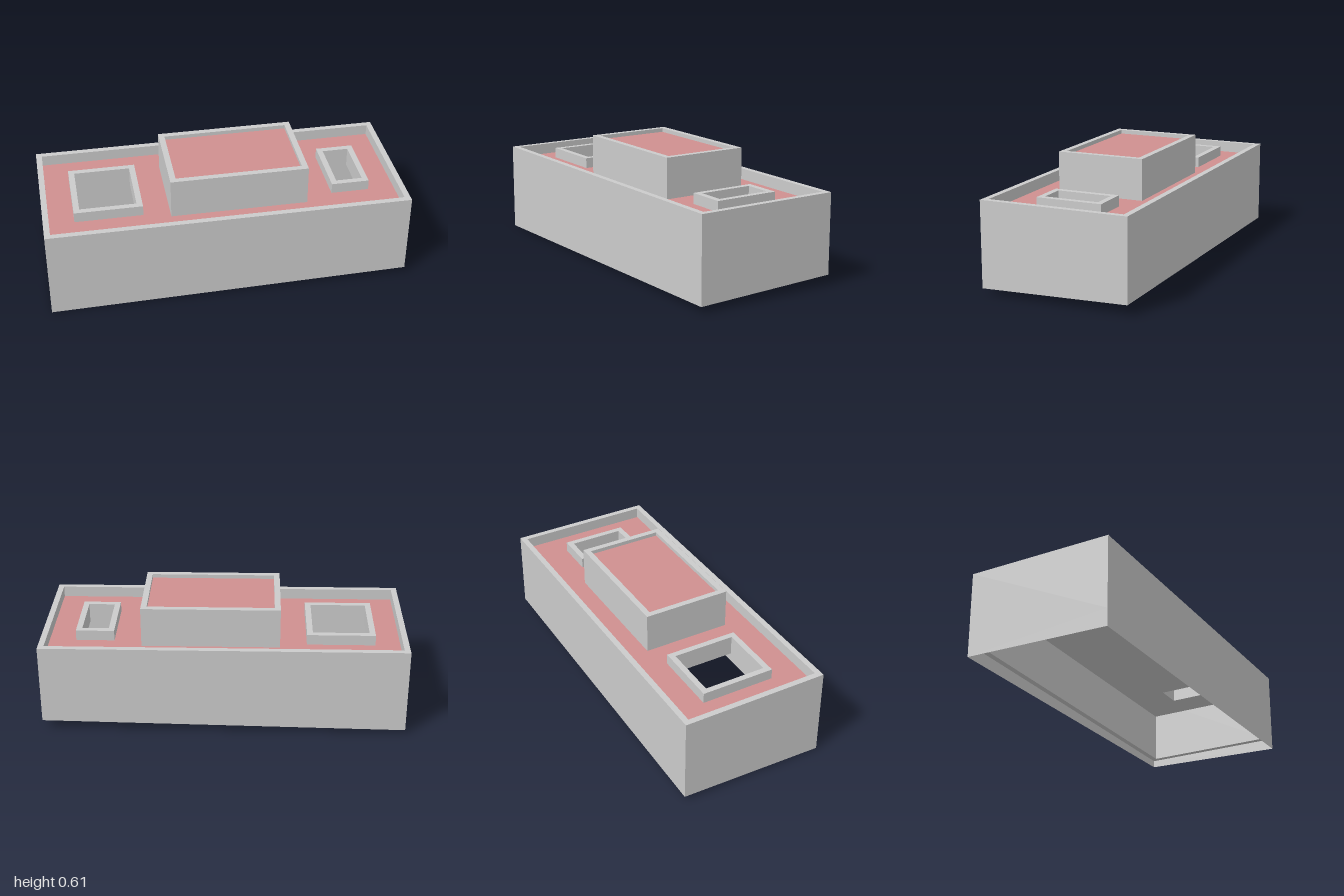
import * as THREE from 'three';

const grey = new THREE.MeshStandardMaterial({ color: 0xcccccc, flatShading: true });
const sheet = new THREE.MeshStandardMaterial({ color: 0xcccccc, flatShading: true, side: THREE.DoubleSide });
const red = new THREE.MeshStandardMaterial({ color: 0xd09090 });

const WALL = 0.03;
// footprints as [x0, x1, z0, z1] in the building's own axes
const outer = [-0.925, 0.925, -0.38, 0.38];
const upper = [-0.283, 0.42, -0.227, 0.227];
const bigWell = [-0.768, -0.42, -0.192, 0.19];
const smallWell = [0.563, 0.759, -0.171, 0.17];

const inset = ([a, b, c, d], t = WALL) => [a + t, b - t, c + t, d - t];

function outline([x0, x1, z0, z1], Type = THREE.Shape) {
  return new Type([[x0, -z1], [x1, -z1], [x1, -z0], [x0, -z0]].map(p => new THREE.Vector2(...p)));
}

function plan(rect, holes) {
  const shape = outline(rect);
  shape.holes = holes.map(h => outline(h, THREE.Path));
  return shape;
}

// upright prism over a footprint with rectangular holes
function prism(name, rect, holes, y0, y1) {
  const geo = new THREE.ExtrudeGeometry(plan(rect, holes), { depth: y1 - y0, bevelEnabled: false });
  const mesh = new THREE.Mesh(geo.rotateX(-Math.PI / 2), grey);
  mesh.position.y = y0;
  mesh.name = name;
  return mesh;
}

// flat coloured roof covering
function covering(name, rect, holes, y) {
  const geo = new THREE.ShapeGeometry(plan(rect, holes)).rotateX(-Math.PI / 2);
  const mesh = new THREE.Mesh(geo, red);
  mesh.position.y = y;
  mesh.name = name;
  return mesh;
}

// thin skirt whose lower edge follows the sloping ground
function skirt([x0, x1, z0, z1], top) {
  const ground = (x, z) => 0.026 + 0.0165 * x - 0.028 * z;
  const corners = [[x0, z1], [x1, z1], [x1, z0], [x0, z0]];
  const pos = [];
  corners.forEach(([ax, az], i) => {
    const [bx, bz] = corners[(i + 1) % 4];
    const a = [ax, ground(ax, az), az], b = [bx, ground(bx, bz), bz];
    const c = [bx, top, bz], d = [ax, top, az];
    pos.push(...a, ...b, ...c, ...a, ...c, ...d);
  });
  const geo = new THREE.BufferGeometry();
  geo.setAttribute('position', new THREE.Float32BufferAttribute(pos, 3));
  geo.computeVertexNormals();
  const mesh = new THREE.Mesh(geo, sheet);
  mesh.name = 'groundSkirt';
  return mesh;
}

export function createModel() {
  const model = new THREE.Group();
  model.name = 'building';
  const body = new THREE.Group();
  body.name = 'buildingBody';
  body.rotation.y = -THREE.MathUtils.degToRad(18.5);
  model.add(body);

  // outer walls with parapet, open underneath
  body.add(skirt(outer, 0.09));
  body.add(prism('outerWalls', outer, [inset(outer)], 0.09, 0.465));

  // main roof pierced by two light wells
  body.add(prism('roofSlab', inset(outer), [bigWell, smallWell], 0.36, 0.405));
  body.add(covering('mainRoof', inset(outer), [bigWell, smallWell, upper], 0.408));
  body.add(prism('largeWellRim', bigWell, [inset(bigWell)], 0.36, 0.462));
  body.add(prism('smallWellRim', smallWell, [inset(smallWell)], 0.36, 0.462));

  // raised upper storey
  body.add(prism('upperWalls', upper, [inset(upper)], 0.405, 0.615));
  body.add(covering('upperRoof', inset(upper), [], 0.595));

  return model;
}
